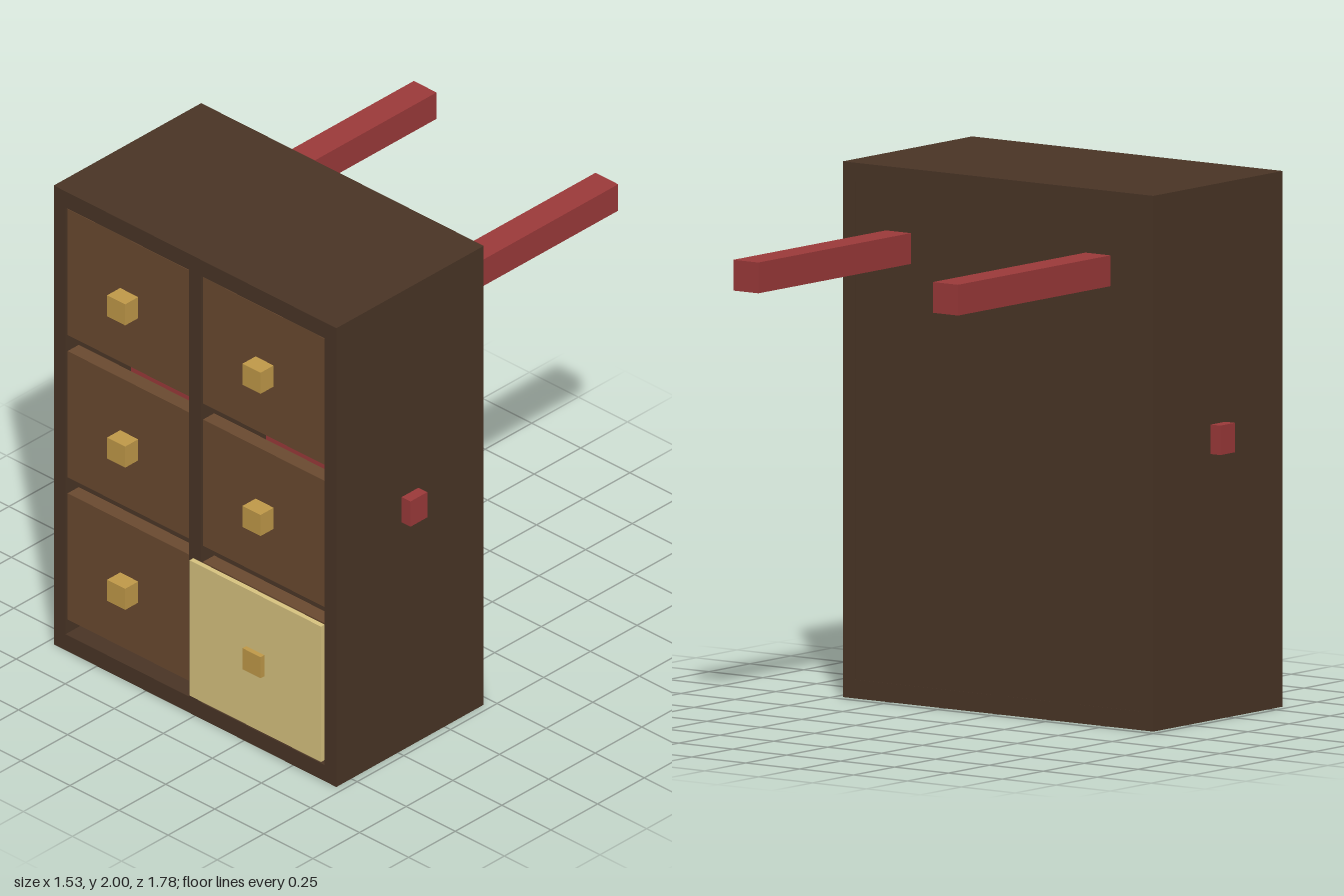
import * as THREE from 'three';

const mat = (color) => new THREE.MeshStandardMaterial({ color });

// Box given by its extents along each axis
function box(name, [x0, x1], [y0, y1], [z0, z1], material) {
  const mesh = new THREE.Mesh(new THREE.BoxGeometry(x1 - x0, y1 - y0, z1 - z0), material);
  mesh.position.set((x0 + x1) / 2, (y0 + y1) / 2, (z0 + z1) / 2);
  mesh.name = name;
  return mesh;
}

function rectangle(target, x0, x1, y0, y1) {
  target.moveTo(x0, y0);
  target.lineTo(x1, y0);
  target.lineTo(x1, y1);
  target.lineTo(x0, y1);
  target.closePath();
  return target;
}

export function createModel() {
  const model = new THREE.Group();
  model.name = 'drawerCabinet';
  const darkWood = mat(0x4a3526);
  const drawerWood = mat(0x6b4a30);
  const brass = mat(0xc19a49);
  const paper = mat(0xd9c480);
  const red = mat(0x9c3a3a);

  // Hollow carcass: two tall bays split by a full-depth divider
  const outline = rectangle(new THREE.Shape(), -0.72, 0.72, 0, 2);
  outline.holes.push(
    rectangle(new THREE.Path(), -0.66, -0.03, 0.07, 1.93),
    rectangle(new THREE.Path(), 0.03, 0.66, 0.07, 1.93)
  );
  const carcass = new THREE.Mesh(
    new THREE.ExtrudeGeometry(outline, { depth: 0.79, bevelEnabled: false }), darkWood);
  carcass.position.z = 0.04;
  carcass.name = 'carcass';
  model.add(carcass);
  model.add(box('backPanel', [-0.70, 0.70], [0.02, 1.98], [0.041, 0.10], darkWood));

  // Six drawer fronts, each with a square knob
  for (const side of [-1, 1]) {
    for (let row = 0; row < 3; row++) {
      const drawer = new THREE.Group();
      drawer.name = 'drawer';
      drawer.position.set(side * 0.345, 0.405 + row * 0.62, 0);
      drawer.add(box('drawerFront', [-0.314, 0.314], [-0.275, 0.275], [0.76, 0.82], drawerWood));
      drawer.add(box('knob', [-0.046, 0.046], [-0.046, 0.046], [0.82, 0.89], brass));
      model.add(drawer);
    }
    // Rear bars
    const x = side * 0.463;
    model.add(box('rearBar', [x - 0.058, x + 0.058], [1.645, 1.76], [-0.89, 0.08], red));
  }

  // Pale sheet in front of the lower left drawer
  model.add(box('paleSheet', [0.01, 0.68], [0.11, 0.70], [0.85, 0.87], paper));

  // Cross bar running through both sides
  model.add(box('crossBar', [-0.765, 0.765], [0.995, 1.105], [0.39, 0.48], red));

  return model;
}
